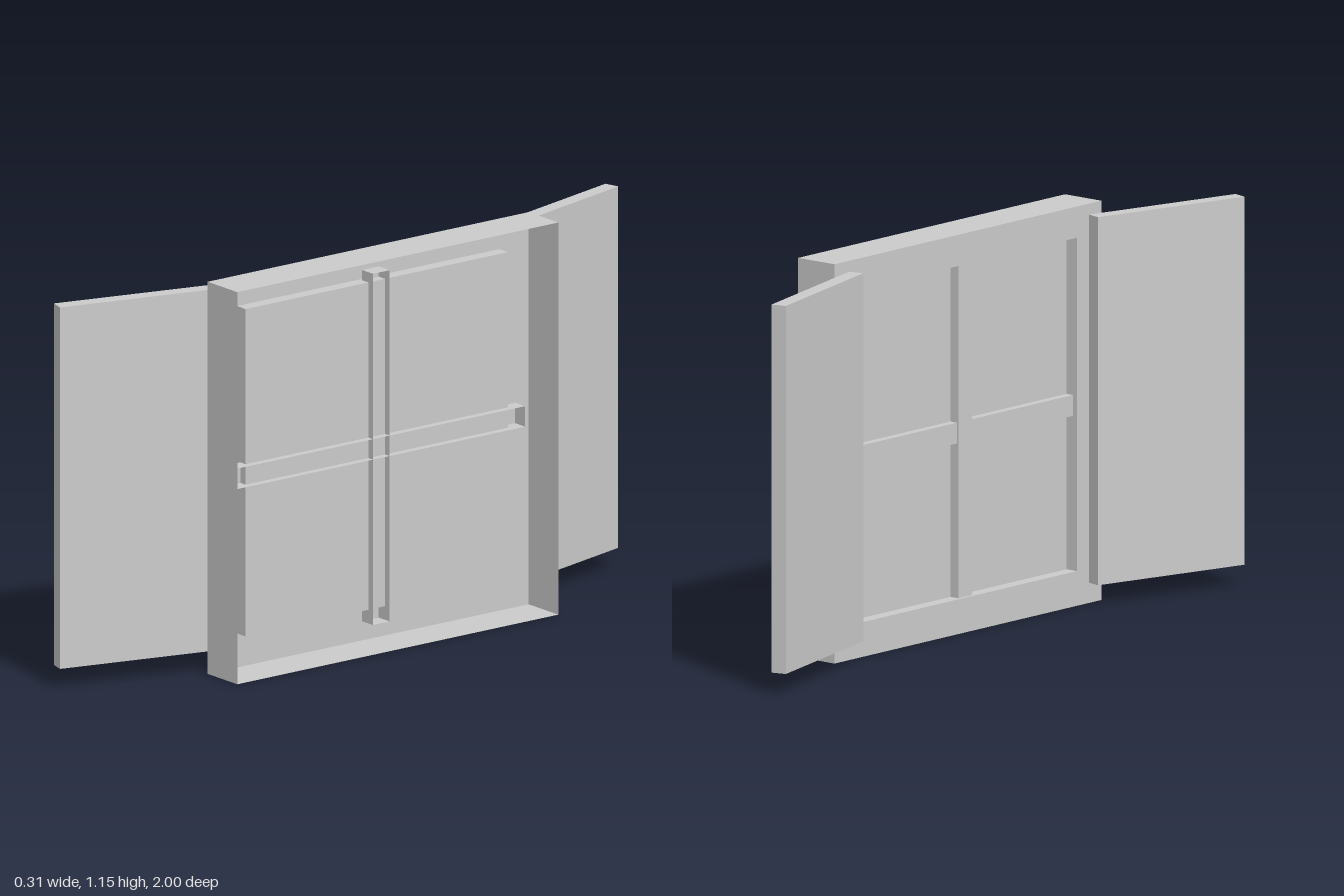
import * as THREE from 'three';

const solid = new THREE.MeshStandardMaterial({ color: 0xcccccc });
const thin = new THREE.MeshStandardMaterial({ color: 0xcccccc, side: THREE.DoubleSide });

export function createModel() {
  const group = new THREE.Group();

  function add(name, geometry, material) {
    const mesh = new THREE.Mesh(geometry, material);
    mesh.name = name;
    group.add(mesh);
    return mesh;
  }

  // Box given by its limits, keeping only the listed sides (0 +x, 1 -x, 2 +y, 3 -y, 4 +z, 5 -z)
  function openBox(name, [x0, x1], [y0, y1], halfZ, sides) {
    const g = new THREE.BoxGeometry(x1 - x0, y1 - y0, halfZ * 2);
    const all = Array.from(g.index.array);
    g.setIndex(sides.flatMap(s => all.slice(s * 6, s * 6 + 6)));
    g.clearGroups();
    g.translate((x0 + x1) / 2, (y0 + y1) / 2, 0);
    return add(name, g, thin);
  }

  const rectangle = (Type, halfZ, y0, y1) => new Type([
    new THREE.Vector2(-halfZ, y0), new THREE.Vector2(halfZ, y0),
    new THREE.Vector2(halfZ, y1), new THREE.Vector2(-halfZ, y1),
  ]);

  // Thin outer casing, open towards +x
  openBox('frameCasing', [0.02, 0.155], [0, 1.15], 0.575, [2, 3, 4, 5]);

  // Flat border around the opening on the -x side
  const border = rectangle(THREE.Shape, 0.575, 0, 1.15);
  border.holes.push(rectangle(THREE.Path, 0.47, 0.1, 1.06));
  add('frameBorder', new THREE.ShapeGeometry(border).rotateY(-Math.PI / 2).translate(0.02, 0, 0), thin);

  // Recess walls with the window pane at their end
  openBox('recessedPane', [0.02, 0.059], [0.1, 1.06], 0.47, [0, 2, 3, 4, 5]);

  // Crossing glazing bars, hollow towards +x and passing through the pane
  openBox('verticalBar', [0.03, 0.08], [0.06, 1.09], 0.03, [1, 2, 3, 4, 5]);
  openBox('horizontalBar', [0.035, 0.08], [0.545, 0.605], 0.515, [1, 2, 3, 4, 5]);

  // Pair of shutters swung open
  for (const side of [1, -1]) {
    const shutter = add(side > 0 ? 'frontShutter' : 'backShutter',
      new THREE.BoxGeometry(0.045, 1.06, 0.5), solid);
    shutter.position.set(-0.07, 0.59, side * 0.7525);
    shutter.rotation.y = -side * 0.26;
  }

  return group;
}
